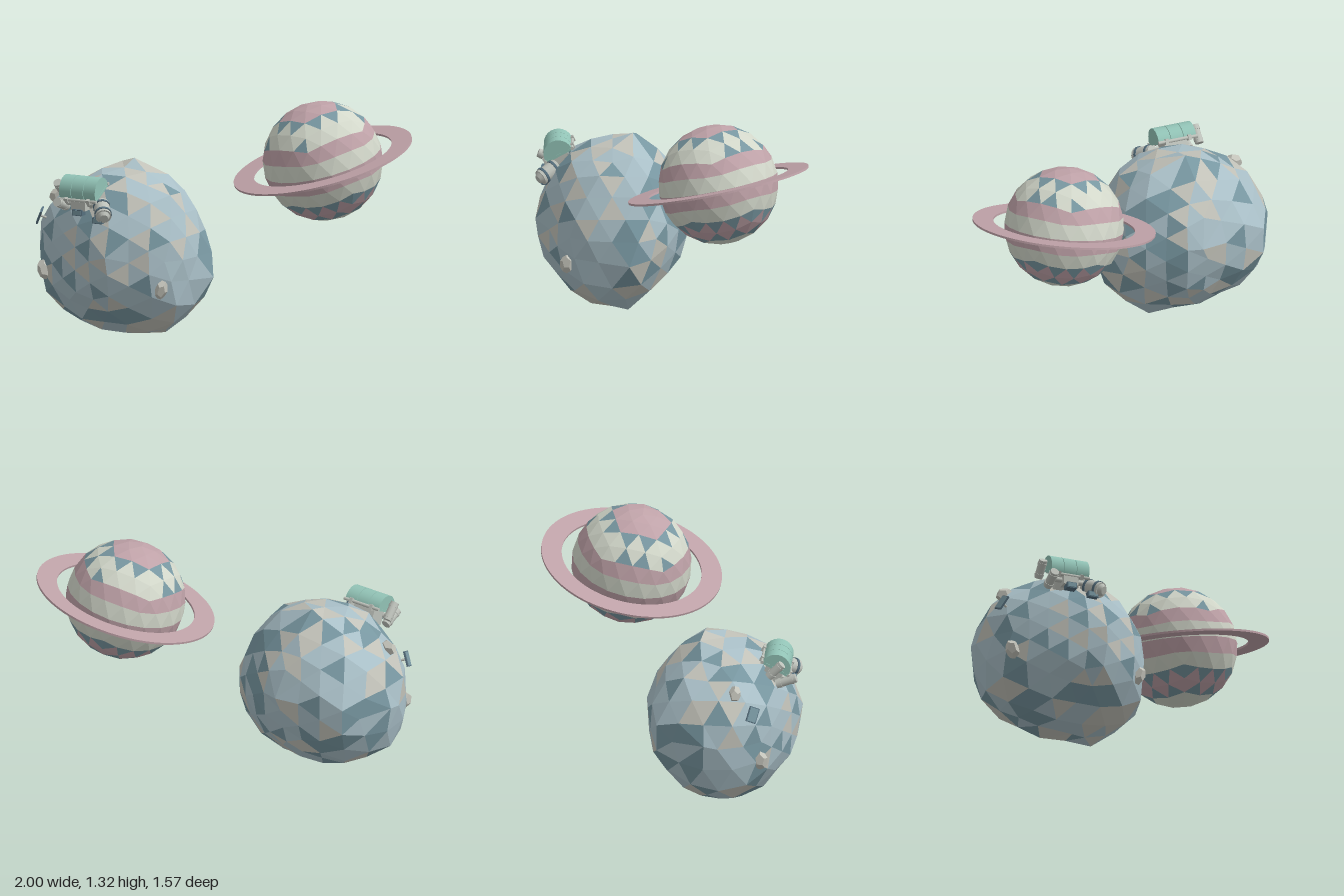
import * as THREE from 'three';

const mat = (name, color) => Object.assign(new THREE.MeshStandardMaterial({ color }), { name });
const UP = new THREE.Vector3(0, 1, 0);

export function createModel() {
  const M = {
    rose: mat('dusty rose', 0xbfa2a8),
    cream: mat('cream', 0xd2d7ca),
    teal: mat('slate teal', 0x7897a1),
    ice: mat('ice blue', 0xa9bfc7),
    stone: mat('warm stone', 0xc2c2b9),
    mint: mat('mint', 0x92c3b6),
    metal: mat('pale metal', 0xbdc1ba),
    dark: mat('dark blue metal', 0x566f7e),
  };
  const root = new THREE.Group();
  root.name = 'spaceScene';

  const add = (parent, name, geo, material, pos = [0, 0, 0]) => {
    const m = new THREE.Mesh(geo, material);
    m.name = name;
    m.position.set(...pos);
    parent.add(m);
    return m;
  };
  const group = (parent, name, pos, dir) => {
    const g = new THREE.Group();
    g.name = name;
    g.position.set(...pos);
    g.quaternion.setFromUnitVectors(UP, new THREE.Vector3(...dir).normalize());
    parent.add(g);
    return g;
  };
  // Gives each triangle a material index chosen from its corners
  const paintFaces = (geo, pick) => {
    const p = geo.attributes.position;
    for (let i = 0; i < p.count; i += 3) {
      geo.addGroup(i, 3, pick([0, 1, 2].map(k => new THREE.Vector3().fromBufferAttribute(p, i + k))));
    }
  };
  let seed = 11;
  const rand = () => (seed = (seed * 16807) % 2147483647) / 2147483647;

  // ---- Ringed planet ----
  const planet = group(root, 'ringedPlanet', [0.48, 0.975, -0.27], [-0.185, 1, 0.21]);
  const globe = new THREE.IcosahedronGeometry(0.344, 3);
  globe.rotateZ(-Math.atan(2 / (1 + Math.sqrt(5))));
  globe.computeVertexNormals();
  paintFaces(globe, tri => {
    const c = tri[0].clone().add(tri[1]).add(tri[2]).divideScalar(3);
    const lat = THREE.MathUtils.radToDeg(c.angleTo(UP));
    const ys = tri.map(v => v.y).sort((a, b) => a - b);
    const baseUp = ys[2] - ys[1] < ys[1] - ys[0];
    if (lat < 29) return 0;
    if (lat < 44.5) return baseUp ? 2 : 1;
    if (lat < 60) return !baseUp && rand() < 0.3 ? 2 : 1;
    if (lat < 75.5) return 0;
    if (lat < 90) return 1;
    if (lat < 104.5) return 0;
    if (lat < 120) return 1;
    if (lat < 135.5) return baseUp ? 2 : 0;
    if (lat < 151) return baseUp ? 0 : 2;
    return 1;
  });
  add(planet, 'bandedGlobe', globe, [M.rose, M.cream, M.teal]);

  const disc = new THREE.Shape().absarc(0, 0, 0.525, 0, Math.PI * 2);
  disc.holes.push(new THREE.Path().absarc(0, 0, 0.407, 0, Math.PI * 2, true));
  const ring = new THREE.ExtrudeGeometry(disc, { depth: 0.012, bevelEnabled: false, curveSegments: 48 });
  ring.translate(0, 0, -0.006).rotateX(-Math.PI / 2);
  add(planet, 'planetRing', ring, M.rose);

  // ---- Asteroid: a sphere shaped by three outlines, given as pairs of x y, z y and x z ----
  const centre = new THREE.Vector3(-0.48, 0.48, 0.34);
  const outline = (cx, cy, flat) => {
    const pts = [];
    for (let i = 0; i < flat.length; i += 2) pts.push([flat[i] - cx, flat[i + 1] - cy]);
    return pts;
  };
  const outlineXY = outline(centre.x, centre.y, [0.045, 0.345, -0.013, 0.55, -0.125, 0.815, -0.26, 0.91,
    -0.475, 0.99, -0.565, 0.965, -0.82, 0.815, -0.9, 0.745, -0.98, 0.63, -1, 0.495, -0.985, 0.295,
    -0.915, 0.15, -0.715, 0.055, -0.57, 0.013, -0.42, 0, -0.26, 0, -0.135, 0.07, -0.01, 0.2]);
  const outlineZY = outline(centre.z, centre.y, [0.78, 0.51, 0.735, 0.655, 0.68, 0.77, 0.6, 0.86, 0.49, 0.91,
    0.4, 0.955, 0.345, 0.947, 0.225, 0.99, 0.07, 0.88, -0.015, 0.76, -0.1, 0.627, -0.1, 0.5,
    -0.045, 0.265, 0.08, 0.108, 0.217, 0.015, 0.365, 0, 0.48, 0.02, 0.585, 0.095, 0.735, 0.27]);
  const outlineXZ = outline(centre.x, centre.z, [0.045, 0.24, -0.02, 0.36, -0.03, 0.51, -0.13, 0.64,
    -0.26, 0.7, -0.37, 0.78, -0.5, 0.765, -0.73, 0.67, -0.92, 0.54, -0.995, 0.35, -0.995, 0.24,
    -0.93, 0.1, -0.865, -0.03, -0.715, -0.08, -0.5, -0.107, -0.37, -0.107, -0.14, 0.03, -0.04, 0.12]);
  // Distance from the centre to an outline in direction a, b
  const reach = (pts, a, b) => {
    const l = Math.hypot(a, b) || 1, u = a / l, v = b / l;
    for (let i = 0; i < pts.length; i++) {
      const [px, py] = pts[i], [qx, qy] = pts[(i + 1) % pts.length];
      if (px * v - py * u >= 0 && u * qy - v * qx >= 0) {
        return (px * (qy - py) - py * (qx - px)) / (u * (qy - py) - v * (qx - px));
      }
    }
    return 0.48;
  };
  const peaks = [[0.045, 0.345, 0.24], [-0.475, 0.99, 0.225], [-1, 0.495, 0.26], [-0.37, 0.51, 0.78],
    [-0.42, 0, 0.365], [-0.45, 0.55, -0.107], [-0.26, 0, 0.25]].map(p => new THREE.Vector3(...p).sub(centre));
  const cut = new THREE.Vector3(0.35, 0.87, 0.35);
  const rock = new THREE.IcosahedronGeometry(1, 3);
  const rp = rock.attributes.position;
  const d = new THREE.Vector3();
  const corners = [];
  for (let i = 0; i < rp.count; i++) corners.push(new THREE.Vector3().fromBufferAttribute(rp, i).normalize());
  for (let i = 0; i < rp.count; i++) {
    d.copy(corners[i]);
    let sum = 0, weight = 0, limit = 0.465 / Math.max(d.dot(cut), 0.01);
    for (const [o, a, b, c] of [[outlineXY, d.x, d.y, d.z], [outlineZY, d.z, d.y, d.x], [outlineXZ, d.x, d.z, d.y]]) {
      const r = reach(o, a, b), w = 1 / (c * c + 0.02);
      sum += w * r;
      weight += w;
      limit = Math.min(limit, 1.01 * r / Math.max(Math.hypot(a, b), 0.01));
    }
    const bumps = 0.018 * Math.sin(9 * d.x + 1) * Math.sin(8 * d.y + 2) * Math.sin(10 * d.z + 0.5);
    d.multiplyScalar(Math.min(1.005 * sum / weight + bumps, limit));
    rp.setXYZ(i, Math.max(d.x, -0.52), Math.max(d.y, -0.48), d.z);
  }
  // Pull the nearest corner out to each outstanding peak
  for (const peak of peaks) {
    const dir = peak.clone().normalize();
    const best = Math.max(...corners.map(c => c.dot(dir)));
    corners.forEach((c, i) => {
      if (c.dot(dir) > best - 1e-6) rp.setXYZ(i, peak.x, peak.y, peak.z);
    });
  }
  rock.computeVertexNormals();
  paintFaces(rock, () => {
    const t = rand();
    return t < 0.54 ? 0 : t < 0.8 ? 1 : 2;
  });
  add(root, 'asteroid', rock, [M.ice, M.teal, M.stone], centre.toArray());

  // Small boulders stuck to the surface
  for (const [x, y, z, sx, sy, sz] of [
    [-0.87, 0.365, 0.575, 0.04, 0.06, 0.045],
    [-0.1, 0.32, 0.6, 0.035, 0.06, 0.04],
    [-0.86, 0.77, 0.43, 0.055, 0.045, 0.035],
  ]) {
    const g = new THREE.DodecahedronGeometry(1, 0).scale(sx, sy, sz);
    g.computeVertexNormals();
    add(root, 'boulder', g, M.stone, [x, y, z]).rotation.z = x < -0.5 ? 0.3 : -0.3;
  }

  // Small panel on a short post
  const panel = group(root, 'surfacePanel', [-0.885, 0.655, 0.52], [-0.85, 0.35, 0.4]);
  add(panel, 'panelPost', new THREE.CylinderGeometry(0.007, 0.007, 0.12, 8), M.metal, [0, -0.02, 0]);
  add(panel, 'panelPlate', new THREE.BoxGeometry(0.09, 0.01, 0.06), M.dark, [0, 0.04, 0]);
  add(panel, 'panelFace', new THREE.BoxGeometry(0.08, 0.006, 0.05), M.teal, [0, 0.045, 0]);

  // ---- Station perched on the upper front ----
  const station = group(root, 'station', [-0.575, 0.864, 0.65], [0, 0.875, 0.48]);
  const halfDrum = (r, len) =>
    new THREE.CylinderGeometry(r, r, len, 12, 1, false, 0, Math.PI).rotateZ(Math.PI / 2);
  for (const i of [-1, 0, 1]) {
    add(station, 'curvedCover', halfDrum(0.084, 0.075), M.mint, [i * 0.078, 0, 0]);
  }
  add(station, 'coverBase', new THREE.BoxGeometry(0.235, 0.014, 0.17), M.mint, [0, -0.007, 0]);
  add(station, 'mountBlock', new THREE.BoxGeometry(0.14, 0.09, 0.11), M.metal, [0, -0.055, 0.01]);
  for (const s of [-1, 1]) {
    add(station, 'sideRail', new THREE.CylinderGeometry(0.01, 0.01, 0.24, 10).rotateZ(Math.PI / 2),
      M.metal, [0, -0.006, s * 0.086]);
    for (const t of [-1, 1]) {
      add(station, 'railClamp', new THREE.BoxGeometry(0.02, 0.032, 0.028), M.metal, [t * 0.07, -0.006, s * 0.086]);
    }
  }

  // Tanks and main module with collars
  const capsule = (name, pos, dir, r, len, collar) => {
    const g = group(root, name, pos, dir);
    add(g, 'capsuleBody', new THREE.CylinderGeometry(r, r, len, 12), M.metal);
    for (const s of [-1, 1]) {
      add(g, 'capsuleCollar', new THREE.CylinderGeometry(r * 1.1, r * 1.1, len * 0.12, 12), collar, [0, s * len * 0.3, 0]);
    }
    return g;
  };
  capsule('sideTank', [-0.725, 0.865, 0.65], [0, 0.7, 0.7], 0.025, 0.11, M.metal);
  capsule('lowerTank', [-0.685, 0.785, 0.71], [0, 0.35, 0.93], 0.026, 0.12, M.metal);
  const module = capsule('mainModule', [-0.425, 0.77, 0.705], [0.5, -0.4, 0.72], 0.046, 0.12, M.dark);
  add(module, 'moduleCap', new THREE.CylinderGeometry(0.024, 0.038, 0.02, 12), M.metal, [0, 0.07, 0]);

  // Link tube, front box and small side plates
  add(root, 'linkTube', new THREE.CylinderGeometry(0.015, 0.015, 0.24, 10).rotateZ(Math.PI / 2), M.metal, [-0.57, 0.795, 0.69]);
  add(root, 'frontBox', new THREE.BoxGeometry(0.09, 0.05, 0.06), M.metal, [-0.57, 0.785, 0.7]);
  for (const [x, y] of [[-0.57, 0.75], [-0.44, 0.715]]) {
    add(root, 'sidePlate', new THREE.BoxGeometry(0.06, 0.035, 0.05), M.dark, [x, y, 0.72]);
    add(root, 'sidePlateFace', new THREE.BoxGeometry(0.05, 0.025, 0.006), M.teal, [x, y, 0.747]);
  }
  return root;
}
